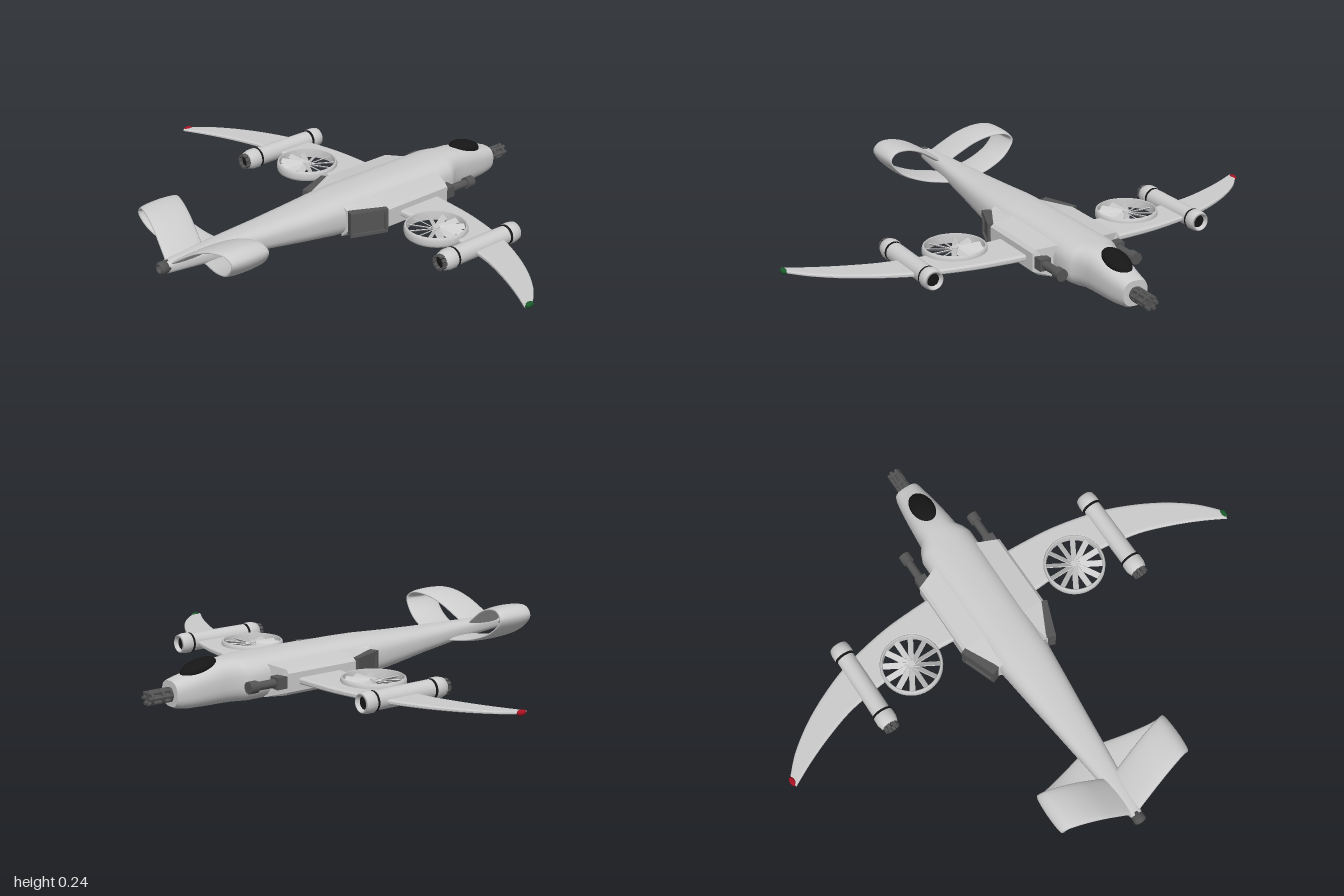
import * as THREE from 'three';

const paint = (color) => new THREE.MeshStandardMaterial({ color, side: THREE.DoubleSide });
const GREY = paint(0xcccccc), DARK = paint(0x555555), BLACK = paint(0x161616);
const RED = paint(0xaa1122), GREEN = paint(0x1c5a2c);

function add(parent, name, geo, mat, x = 0, y = 0, z = 0) {
  const mesh = new THREE.Mesh(geo, mat);
  mesh.name = name;
  mesh.position.set(x, y, z);
  parent.add(mesh);
  return mesh;
}

// Skin over closed rings of [x, y, z], with both ends capped
function loft(rings, flat = false) {
  const n = rings[0].length, pos = rings.flat(2), idx = [];
  for (let i = 0; i < rings.length - 1; i++) {
    for (let j = 0; j < n; j++) {
      const a = i * n + j, b = i * n + (j + 1) % n;
      idx.push(a, b, a + n, b, b + n, a + n);
    }
  }
  [rings[0], rings[rings.length - 1]].forEach((ring, end) => {
    const start = pos.length / 3;
    pos.push(...ring.flat());
    for (let j = 1; j < n - 1; j++) {
      idx.push(start, start + (end ? j : j + 1), start + (end ? j + 1 : j));
    }
  });
  let geo = new THREE.BufferGeometry();
  geo.setAttribute('position', new THREE.Float32BufferAttribute(pos, 3));
  geo.setIndex(idx);
  if (flat) geo = geo.toNonIndexed();
  geo.computeVertexNormals();
  return geo;
}

// Turned body along z from [radius, z] points
const turned = (pts, seg = 24) =>
  new THREE.LatheGeometry(pts.map(([r, z]) => new THREE.Vector2(r, z)), seg).rotateX(Math.PI / 2);
const rod = (r, len, seg = 16) => new THREE.CylinderGeometry(r, r, len, seg).rotateX(Math.PI / 2);

// Copy of a group reflected in x, with the triangle order reversed
function mirrored(group) {
  const out = new THREE.Group();
  out.name = group.name.replace('left', 'right');
  group.updateMatrixWorld(true);
  const flip = new THREE.Matrix4().makeScale(-1, 1, 1);
  group.traverse((m) => {
    if (!m.isMesh) return;
    const src = m.geometry.index ? m.geometry.toNonIndexed() : m.geometry.clone();
    src.applyMatrix4(flip.clone().multiply(m.matrixWorld));
    const order = [];
    for (let i = 0; i < src.attributes.position.count; i += 3) order.push(i, i + 2, i + 1);
    src.setIndex(order);
    add(out, m.name, src, m.material);
  });
  return out;
}

function buildFuselage(g) {
  // z, half width, bottom, top
  const stations = [
    [-0.76, 0.05, 0.02, 0.115], [-0.745, 0.055, 0.012, 0.12], [-0.7, 0.062, 0.006, 0.13],
    [-0.64, 0.07, 0.004, 0.148], [-0.57, 0.077, 0.003, 0.164], [-0.52, 0.082, 0.002, 0.166],
    [-0.495, 0.1, 0.001, 0.166], [-0.465, 0.112, 0, 0.166], [-0.4, 0.112, 0, 0.166],
    [-0.2, 0.108, 0, 0.167], [0, 0.107, 0.001, 0.166], [0.1, 0.103, 0.006, 0.164],
    [0.25, 0.087, 0.026, 0.156], [0.4, 0.07, 0.048, 0.15], [0.55, 0.054, 0.066, 0.147],
    [0.7, 0.038, 0.079, 0.143], [0.83, 0.023, 0.088, 0.135]];
  const power = (v) => Math.sign(v) * Math.abs(v) ** 0.76;
  add(g, 'fuselage', loft(stations.map(([z, w, lo, hi]) =>
    Array.from({ length: 40 }, (_, k) => {
      const a = k / 40 * Math.PI * 2;
      return [w * power(Math.cos(a)), (lo + hi) / 2 + (hi - lo) / 2 * power(Math.sin(a)), z];
    }))), GREY);
  const canopy = add(g, 'canopy', new THREE.SphereGeometry(1, 32, 20), BLACK, 0, 0.146, -0.638);
  canopy.scale.set(0.046, 0.027, 0.075);
  canopy.rotation.x = -0.27;
  add(g, 'tailNozzle', turned([[0, -0.02], [0.024, -0.02], [0.024, 0.015], [0.018, 0.02],
    [0.015, 0.02], [0.013, 0], [0, 0]]), DARK, 0, 0.112, 0.84);

  // Rotary nose gun
  add(g, 'noseGunShaft', rod(0.013, 0.1), DARK, 0, 0.065, -0.8);
  for (let k = 0; k < 6; k++) {
    const a = k / 6 * Math.PI * 2;
    add(g, 'noseGunBarrel', rod(0.0075, 0.11, 10), DARK,
      0.021 * Math.cos(a), 0.065 + 0.021 * Math.sin(a), -0.805);
  }
  for (const z of [-0.763, -0.8, -0.845]) add(g, 'noseGunBand', rod(0.027, 0.01, 18), DARK, 0, 0.065, z);
}

function buildPod(g) {
  // Side pod with its slanted exhaust
  const section = (zi, zo, x) => [[0.08, 0.012, zi], [x - 0.02, 0.03, zo], [x, 0.045, zo],
    [x, 0.115, zo], [x - 0.012, 0.128, zo], [0.08, 0.142, zi]];
  add(g, 'sidePod', loft([section(-0.405, -0.37, 0.185), section(-0.06, -0.06, 0.185),
    section(0.08, 0.075, 0.117)], true), GREY);
  const exhaust = new THREE.Group();
  exhaust.name = 'podExhaust';
  exhaust.position.set(0.152, 0.078, 0.01);
  exhaust.rotation.y = -0.36;
  g.add(exhaust);
  for (const s of [-1, 1]) {
    add(exhaust, 'exhaustFrame', new THREE.BoxGeometry(0.036, 0.012, 0.15), DARK, 0, s * 0.043, 0);
    add(exhaust, 'exhaustFrame', new THREE.BoxGeometry(0.036, 0.09, 0.012), DARK, 0, 0, s * 0.069);
  }
  add(exhaust, 'exhaustGrille', new THREE.BoxGeometry(0.02, 0.08, 0.13), DARK);

  // Fixed gun
  add(g, 'sideGunBarrel', rod(0.016, 0.15), DARK, 0.157, 0.082, -0.44);
  add(g, 'sideGunMuzzle', rod(0.023, 0.035), DARK, 0.157, 0.082, -0.512);
  add(g, 'sideGunMount', new THREE.BoxGeometry(0.045, 0.045, 0.05), DARK, 0.157, 0.082, -0.39);
}

function buildWing(g) {
  const v = (pts) => pts.map(([x, z]) => new THREE.Vector2(x, z));
  const shape = new THREE.Shape();
  shape.moveTo(0.09, -0.325);
  shape.splineThru(v([[0.25, -0.32], [0.4, -0.307], [0.57, -0.27], [0.7, -0.22],
    [0.82, -0.155], [0.92, -0.08], [0.985, -0.01]]));
  shape.lineTo(0.988, 0.037);
  shape.splineThru(v([[0.9, -0.01], [0.8, -0.055], [0.68, -0.098], [0.57, -0.12], [0.49, -0.13]]));
  shape.absarc(0.375, -0.13, 0.115, 0, Math.PI, true);
  shape.lineTo(0.09, -0.12);
  const wing = new THREE.ExtrudeGeometry(shape, { depth: 0.01, bevelThickness: 0.007,
    bevelSize: 0.012, bevelOffset: -0.012, bevelSegments: 3, curveSegments: 20 });
  wing.translate(0, 0, -0.005).rotateX(Math.PI / 2);
  // Thin the wing toward its tip
  const p = wing.attributes.position;
  for (let i = 0; i < p.count; i++) p.setY(i, p.getY(i) * (1.2 - 0.75 * p.getX(i)));
  wing.computeVertexNormals();
  add(g, 'wing', wing, GREY, 0, 0.08, 0);

  // Lift fan
  const ring = [[0.11, -0.017], [0.114, -0.02], [0.118, -0.017], [0.121, -0.008], [0.121, 0.008],
    [0.118, 0.017], [0.114, 0.02], [0.11, 0.017], [0.11, -0.017]];
  add(g, 'fanRing', new THREE.LatheGeometry(v(ring), 48), GREY, 0.375, 0.087, -0.13);
  add(g, 'fanHub', new THREE.CylinderGeometry(0.014, 0.014, 0.022, 20), GREY, 0.375, 0.087, -0.13);
  for (let k = 0; k < 12; k++) {
    const blade = new THREE.BoxGeometry(0.1, 0.003, 0.024).rotateX(0.6).translate(0.06, 0, 0);
    add(g, 'fanBlade', blade.rotateY(k / 12 * Math.PI * 2), GREY, 0.375, 0.087, -0.13);
  }

  // Engine nacelle
  add(g, 'nacelle', turned([[0.022, -0.325], [0.03, -0.35], [0.036, -0.345], [0.04, -0.325],
    [0.04, -0.305], [0.035, -0.295], [0.036, -0.2], [0.036, -0.03], [0.04, -0.02],
    [0.04, 0.005], [0.034, 0.025], [0.026, 0.028]], 32), GREY, 0.57, 0.083, 0);
  for (const z of [-0.298, -0.028]) add(g, 'nacelleBand', rod(0.038, 0.012, 32), BLACK, 0.57, 0.083, z);
  add(g, 'nacelleIntake', rod(0.027, 0.01, 24), BLACK, 0.57, 0.083, -0.328);
  add(g, 'nacelleNozzle', rod(0.025, 0.03, 24), BLACK, 0.57, 0.083, 0.015);
  for (let k = 0; k < 10; k++) {
    const a = k / 10 * Math.PI * 2;
    const petal = new THREE.BoxGeometry(0.006, 0.013, 0.035).translate(0.026, 0, 0).rotateZ(a);
    add(g, 'nozzlePetal', petal, DARK, 0.57, 0.083, 0.028);
  }
}

function buildTailLoop(g) {
  // Strip looping out from the upper root, round the tip and back to the lower root
  const path = new THREE.CatmullRomCurve3([[0.005, 0.118], [0.06, 0.157], [0.13, 0.2], [0.2, 0.223],
    [0.255, 0.222], [0.279, 0.196], [0.24, 0.142], [0.15, 0.102], [0.02, 0.083]]
    .map(([x, y]) => new THREE.Vector3(x, y, 0)));
  const rings = [];
  for (let i = 0; i <= 48; i++) {
    const t = i / 48, c = path.getPoint(t), d = path.getTangent(t);
    const sweep = 0.075 * Math.max(0, 1 - c.x / 0.279) * (t < 0.6 ? 1 : -1);
    rings.push(Array.from({ length: 20 }, (_, k) => {
      const a = k / 20 * Math.PI * 2, h = 0.01 * Math.cos(a);
      return [c.x - d.y * h, c.y + d.x * h, 0.667 + sweep + 0.083 * Math.sin(a)];
    }));
  }
  add(g, 'tailLoop', loft(rings), GREY);
}

export function createModel() {
  const model = new THREE.Group();
  model.name = 'aircraft';
  buildFuselage(model);
  const side = new THREE.Group();
  side.name = 'leftSide';
  buildPod(side);
  buildWing(side);
  buildTailLoop(side);
  model.add(side, mirrored(side));
  // Wing tip lights
  for (const [s, mat] of [[1, GREEN], [-1, RED]]) {
    add(model, 'tipLight', new THREE.SphereGeometry(0.011, 16, 12), mat, s * 0.989, 0.08, 0.012).scale.z = 1.8;
  }
  return model;
}
